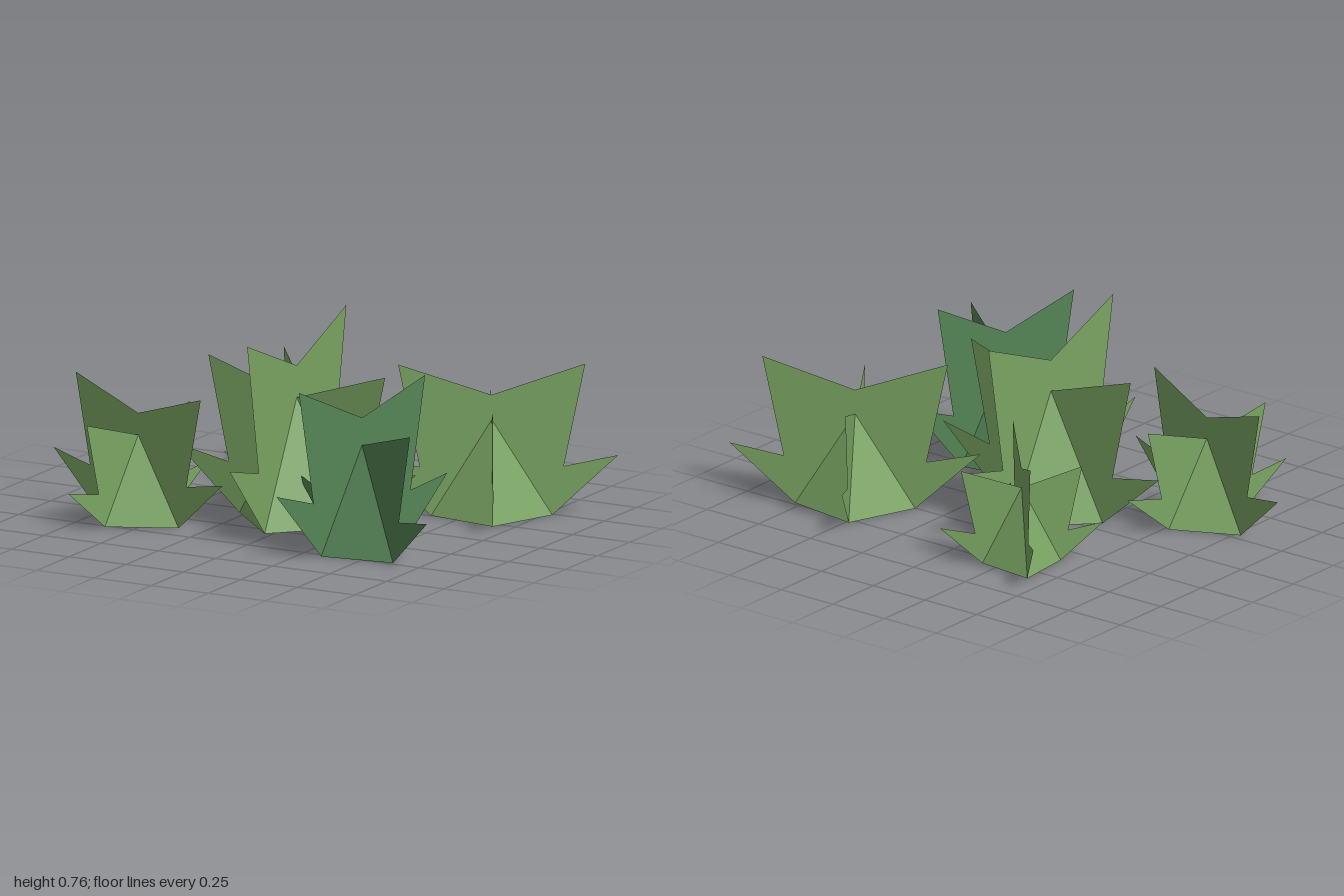
import * as THREE from 'three';

const lightGreen = new THREE.MeshStandardMaterial({ name: 'leafGreen', color: 0x7aa563, flatShading: true, side: THREE.DoubleSide });
const deepGreen = new THREE.MeshStandardMaterial({ name: 'deepGreen', color: 0x558556, flatShading: true, side: THREE.DoubleSide });

// Half outline of a leaf blade: unit 1 = base half width across, centre dip height up
const half = [[1, 0], [2.09, 0.495], [1.19, 0.405], [1.545, 1.255]];
const TALL = 1.26;

// Pyramid whose base corners lie at +-a and +-b (x, z pairs) round the origin
function moundGeometry(a, b, height) {
  const s = a[0] * b[1] - a[1] * b[0] > 0 ? 1 : -1;
  const basis = new THREE.Matrix4().makeBasis(
    new THREE.Vector3(a[0], 0, a[1]),
    new THREE.Vector3(0, height, 0),
    new THREE.Vector3(s * b[0], 0, s * b[1]));
  const geo = new THREE.ConeGeometry(1, 1, 4).toNonIndexed();
  geo.translate(0, 0.5, 0).applyMatrix4(basis);
  geo.computeVertexNormals();
  return geo;
}

// Flat upright blade running along direction d
function bladeGeometry(d, height) {
  const mirrored = half.map(([x, y]) => [-x, y]).reverse();
  const outline = [...half, [0, 1], ...mirrored].map(([x, y]) => new THREE.Vector2(x, y));
  const geo = new THREE.ShapeGeometry(new THREE.Shape(outline));
  geo.applyMatrix4(new THREE.Matrix4().makeBasis(
    new THREE.Vector3(d[0], 0, d[1]),
    new THREE.Vector3(0, height, 0),
    new THREE.Vector3(-d[1], 0, d[0])));
  geo.computeVertexNormals();
  return geo;
}

// One tuft: a mound with a low and a tall blade crossing at its centre
function makeTuft({ name, at, low, tall, height, material }) {
  const tuft = new THREE.Group();
  tuft.name = name;
  tuft.position.set(at[0], 0, at[1]);
  const add = (part, geo) => {
    const mesh = new THREE.Mesh(geo, material);
    mesh.name = part;
    tuft.add(mesh);
  };
  add('mound', moundGeometry(low, tall, height));
  add('lowBlade', bladeGeometry(low, height));
  add('tallBlade', bladeGeometry(tall, height * TALL));
  return tuft;
}

export function createModel() {
  const model = new THREE.Group();
  model.name = 'grassTufts';
  const tufts = [
    { name: 'centreTuft', at: [-0.03, 0.062], low: [0.25, 0], tall: [0, 0.25], height: 0.482, material: lightGreen },
    { name: 'frontRightTuft', at: [-0.567, 0.34], low: [0.0475, -0.175], tall: [0.2075, 0.055], height: 0.33, material: lightGreen },
    { name: 'frontLeftTuft', at: [0.427, 0.368], low: [0.2, 0.115], tall: [-0.09, 0.158], height: 0.414, material: deepGreen },
    { name: 'backLeftTuft', at: [0.58, -0.37], low: [0.0925, 0.158], tall: [0.199, -0.117], height: 0.375, material: lightGreen },
    { name: 'backRightTuft', at: [-0.288, -0.45], low: [0.1075, -0.105], tall: [0.1275, 0.128], height: 0.302, material: lightGreen },
  ];
  tufts.forEach((t) => model.add(makeTuft(t)));
  return model;
}
